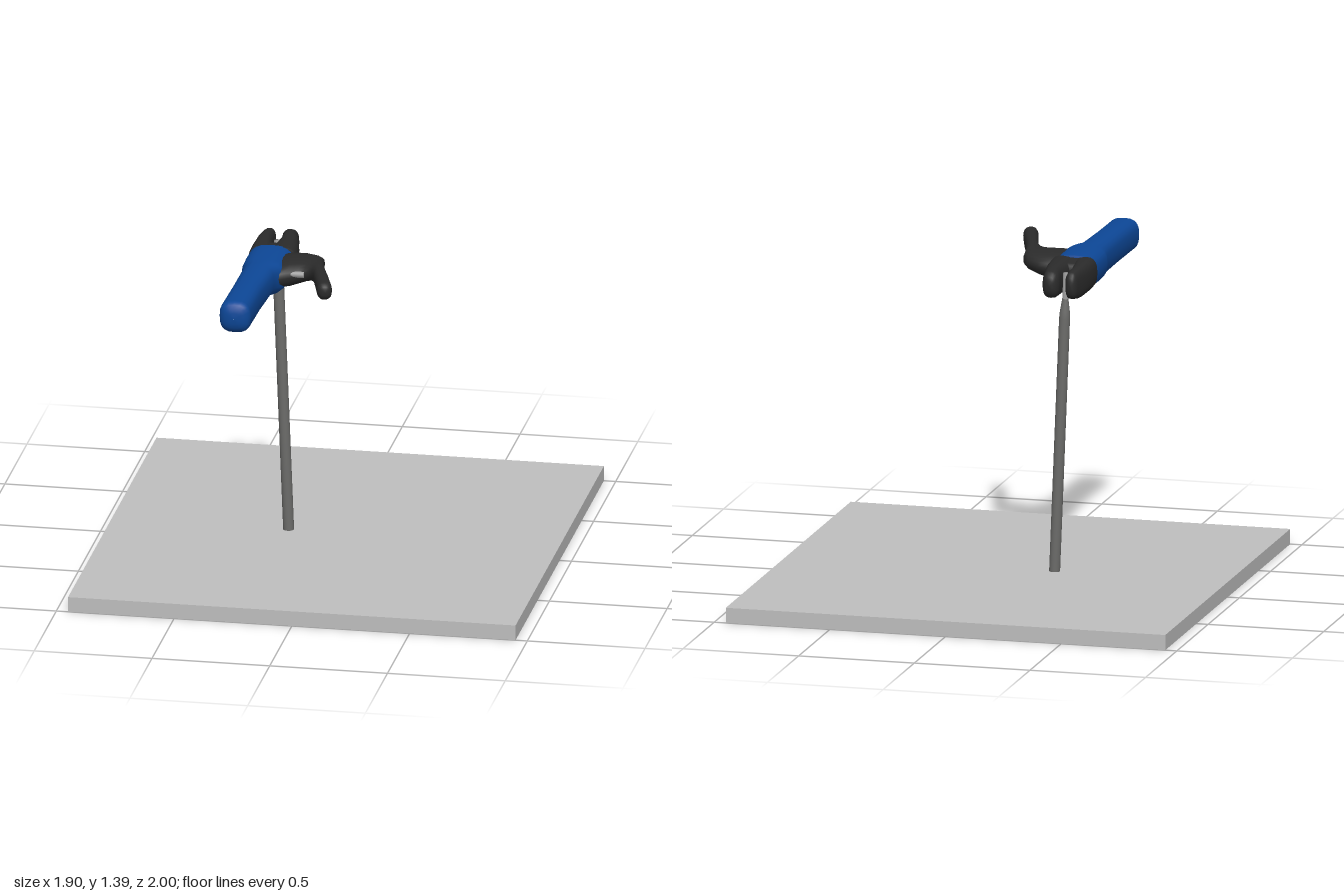
import * as THREE from 'three';

const SIDES = 20;

// Loft through sections [ax, az, bx, bz, yLow, yHigh]: a and b are the two edges
// in plan. Both ends are domed by the given depths.
function loft(sections, capStart, capEnd, power = 2.7) {
  const up = new THREE.Vector3(0, 1, 0);
  const secs = sections.map(([ax, az, bx, bz, y0, y1]) => ({
    m: new THREE.Vector3((ax + bx) / 2, (y0 + y1) / 2, (az + bz) / 2),
    u: new THREE.Vector3((ax - bx) / 2, 0, (az - bz) / 2),
    h: (y1 - y0) / 2,
  }));
  const dome = (s, neighbour, depth) => {
    const out = [];
    const dir = new THREE.Vector3().crossVectors(s.u, up).normalize();
    if (dir.dot(s.m.clone().sub(neighbour.m)) < 0) dir.negate();
    for (const t of [0.35, 0.7, 1.05, 1.35, 1.5707]) {
      const k = Math.max(Math.cos(t), 0.0005) ** 0.7;
      out.push({
        m: s.m.clone().addScaledVector(dir, depth * Math.sin(t)),
        u: s.u.clone().multiplyScalar(k), h: s.h * k,
      });
    }
    return out;
  };
  const n = secs.length;
  const all = [
    ...dome(secs[0], secs[1], capStart).reverse(),
    ...secs,
    ...dome(secs[n - 1], secs[n - 2], capEnd),
  ];
  const pos = [], index = [];
  const curve = (v) => Math.sign(v) * Math.abs(v) ** (2 / power);
  for (const { m, u, h } of all) {
    for (let j = 0; j < SIDES; j++) {
      const a = (j / SIDES) * Math.PI * 2;
      const p = m.clone().addScaledVector(u, curve(Math.cos(a))).addScaledVector(up, h * curve(Math.sin(a)));
      pos.push(p.x, p.y, p.z);
    }
  }
  const travel = secs[1].m.clone().sub(secs[0].m);
  const forward = new THREE.Vector3().crossVectors(secs[0].u, up).dot(travel) > 0;
  for (let k = 0; k < all.length - 1; k++) {
    for (let j = 0; j < SIDES; j++) {
      const a = k * SIDES + j, b = k * SIDES + ((j + 1) % SIDES);
      const d = a + SIDES, c = b + SIDES;
      if (forward) index.push(a, b, d, b, c, d);
      else index.push(a, d, b, b, d, c);
    }
  }
  const g = new THREE.BufferGeometry();
  g.setAttribute('position', new THREE.Float32BufferAttribute(pos, 3));
  g.setIndex(index);
  g.computeVertexNormals();
  return g;
}

// Straight loft along z from rows [z, xLow, xHigh, yLow, yHigh]
const alongZ = (rows, c0, c1, power) =>
  loft(rows.map(([z, x0, x1, y0, y1]) => [x0, z, x1, z, y0, y1]), c0, c1, power);

export function createModel() {
  const mat = (name, color) => {
    const m = new THREE.MeshStandardMaterial({ color });
    m.name = name;
    return m;
  };
  const plateGrey = mat('plate grey', 0xbfbfbf);
  const rodGrey = mat('rod grey', 0x6c6c6a);
  const blue = mat('handle blue', 0x0d4797);
  const black = mat('grip black', 0x2b2b2b);
  const metal = mat('bare metal', 0xa0a0a0);

  const model = new THREE.Group();
  const add = (name, geometry, material, parent = model) => {
    const mesh = new THREE.Mesh(geometry, material);
    mesh.name = name;
    parent.add(mesh);
    return mesh;
  };

  // Work plate
  add('basePlate', new THREE.BoxGeometry(1.9, 0.065, 2), plateGrey).position.y = 0.0325;

  // Leaning electrode rod with a thin bare tip
  const foot = new THREE.Vector3(-0.2, 0.06, 0.005);
  const head = new THREE.Vector3(-0.249, 1.345, 0.012);
  const rodLength = foot.distanceTo(head);
  const rod = new THREE.Group();
  rod.name = 'electrodeRod';
  rod.position.copy(foot);
  rod.quaternion.setFromUnitVectors(new THREE.Vector3(0, 1, 0), head.clone().sub(foot).normalize());
  model.add(rod);
  const profile = [[0, 0], [0.023, 0], [0.023, 1.09], [0.021, 1.12], [0.013, 1.175], [0.013, rodLength], [0, rodLength]];
  for (const [name, from, to, m] of [['rodCoating', 0, 5, rodGrey], ['rodTip', 4, 7, metal]]) {
    const pts = profile.slice(from, to).map(([r, y]) => new THREE.Vector2(r, y));
    add(name, new THREE.LatheGeometry(pts, 20), m, rod);
  }

  // Holder: handle, jaws and squeeze lever
  const holder = new THREE.Group();
  holder.name = 'electrodeHolder';
  model.add(holder);

  add('handle', alongZ([
    [0.175, -0.336, -0.145, 1.238, 1.383],
    [0.25, -0.338, -0.142, 1.235, 1.385],
    [0.35, -0.335, -0.142, 1.235, 1.385],
    [0.385, -0.328, -0.15, 1.237, 1.385],
    [0.43, -0.323, -0.182, 1.24, 1.384],
    [0.65, -0.324, -0.192, 1.243, 1.384],
    [0.88, -0.329, -0.195, 1.245, 1.384],
  ], 0.006, 0.038), blue, holder);

  // Head block joining the two jaws
  add('jawBlock', alongZ([
    [0.1, -0.325, -0.145, 1.255, 1.366],
    [0.185, -0.332, -0.142, 1.248, 1.374],
  ], 0.02, 0.005), black, holder);

  add('leftJaw', alongZ([
    [0.18, -0.252, -0.133, 1.245, 1.378],
    [0.1, -0.248, -0.139, 1.244, 1.377],
    [0.02, -0.237, -0.152, 1.244, 1.376],
    [-0.03, -0.236, -0.163, 1.246, 1.375],
    [-0.06, -0.241, -0.168, 1.252, 1.37],
  ], 0.004, 0.042), black, holder);

  add('rightJaw', alongZ([
    [0.18, -0.338, -0.235, 1.245, 1.378],
    [0.1, -0.338, -0.25, 1.244, 1.377],
    [0.02, -0.334, -0.264, 1.244, 1.376],
    [-0.03, -0.326, -0.268, 1.246, 1.375],
    [-0.06, -0.321, -0.266, 1.252, 1.37],
  ], 0.004, 0.036), black, holder);

  // Curved lever: outer edge, inner edge, height range
  add('lever', loft([
    [-0.17, 0.165, -0.17, 0.41, 1.258, 1.372],
    [-0.13, 0.163, -0.13, 0.395, 1.262, 1.376],
    [-0.08, 0.17, -0.09, 0.38, 1.275, 1.376],
    [-0.03, 0.195, -0.065, 0.38, 1.288, 1.376],
    [-0.003, 0.235, -0.045, 0.385, 1.296, 1.378],
    [0.005, 0.295, -0.03, 0.4, 1.302, 1.382],
    [0.026, 0.38, -0.016, 0.43, 1.307, 1.385],
    [0.06, 0.48, 0.003, 0.5, 1.31, 1.388],
    [0.093, 0.588, 0.032, 0.607, 1.312, 1.39],
  ], 0.01, 0.034, 2.4), black, holder);

  // Small spring pin showing beside the lever root
  const pin = add('springPin', new THREE.CylinderGeometry(0.014, 0.014, 0.07, 12), metal, holder);
  pin.rotation.z = Math.PI / 2;
  pin.position.set(-0.1, 1.332, 0.375);

  return model;
}
